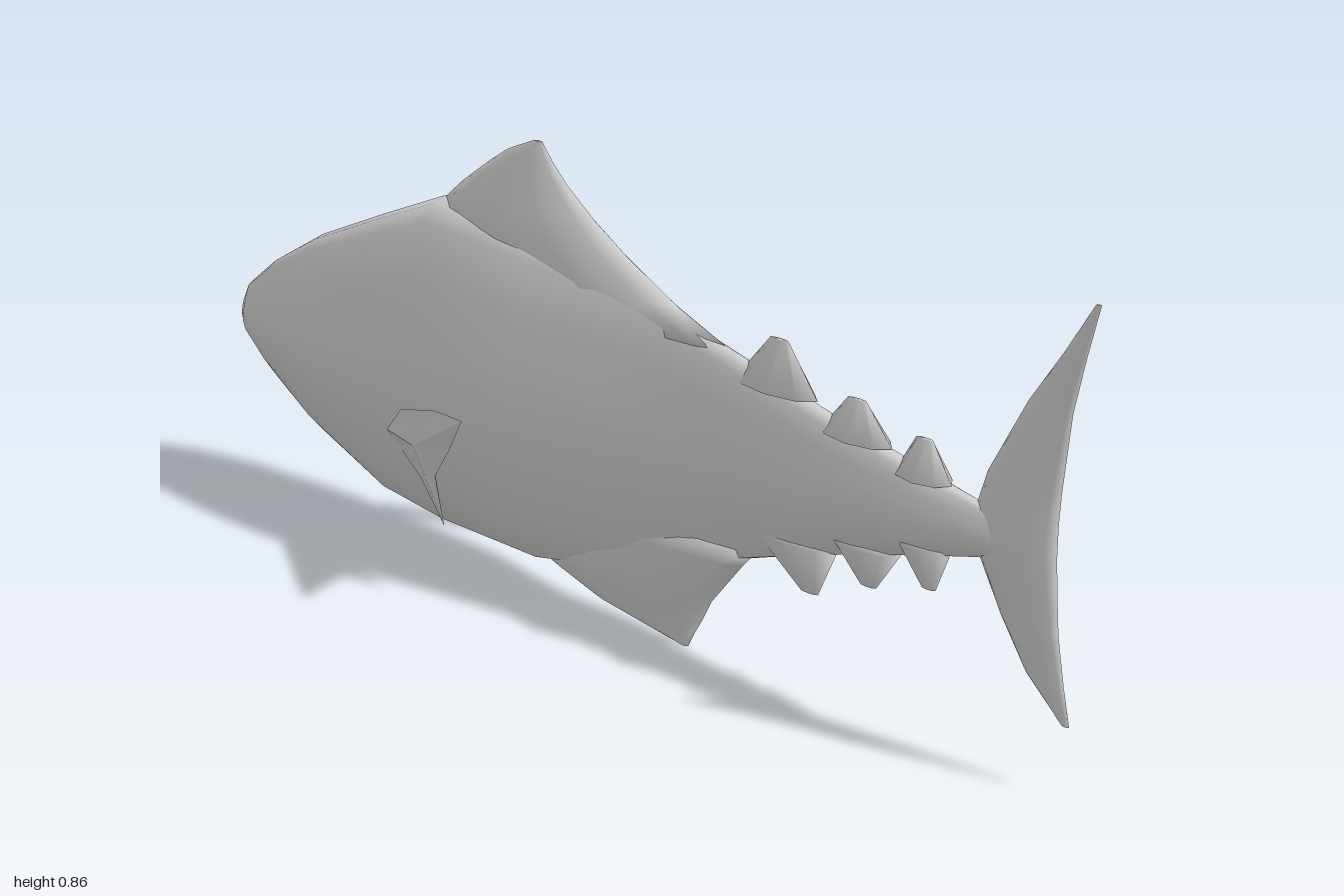
import * as THREE from 'three';

const { sin, cos, PI } = Math;

// Skin a list of rings (clockwise seen from the last ring's side), capped at both ends
function loft(rings) {
  const n = rings[0].length, pos = [], idx = [];
  rings.forEach(r => r.forEach(p => pos.push(...p)));
  for (let i = 0; i < rings.length - 1; i++) {
    for (let j = 0; j < n; j++) {
      const k = (j + 1) % n;
      const a = i * n + j, b = i * n + k, c = a + n, d = b + n;
      idx.push(a, c, b, b, c, d);
    }
  }
  const cap = (i, flip) => {
    const c = pos.length / 3;
    pos.push(...[0, 1, 2].map(m => rings[i].reduce((s, p) => s + p[m], 0) / n));
    for (let j = 0; j < n; j++) {
      const a = i * n + j, b = i * n + (j + 1) % n;
      idx.push(c, flip ? b : a, flip ? a : b);
    }
  };
  cap(0, false);
  cap(rings.length - 1, true);
  const g = new THREE.BufferGeometry();
  g.setAttribute('position', new THREE.Float32BufferAttribute(pos, 3));
  g.setIndex(idx);
  g.computeVertexNormals();
  return g;
}

// Upright fin: stations from low to high, [y, zFront, zBack, halfThickness]
function finGeometry(stations, sides = 10) {
  return loft(stations.map(([y, z0, z1, t]) =>
    Array.from({ length: sides }, (_, j) => {
      const a = (j / sides) * 2 * PI;
      return [t * sin(a), y, (z0 + z1) / 2 - ((z1 - z0) / 2) * cos(a)];
    })));
}

// Body cross-section, right half from back ridge to keel
const PROFILE = [[0, 1], [0.25, 0.975], [0.5, 0.89], [0.72, 0.58], [0.88, 0.28], [1, 0],
  [0.97, -0.25], [0.87, -0.52], [0.55, -0.79], [0.2, -0.98], [0, -1]];

// Body stations: [z, top, bottom, halfWidth, heightOfWidest]
const BODY = [
  [-1, 0.375, 0.33, 0.012, 0.35],
  [-0.97, 0.42, 0.3, 0.036, 0.355],
  [-0.89, 0.485, 0.24, 0.068, 0.36],
  [-0.77, 0.56, 0.165, 0.098, 0.37],
  [-0.6, 0.64, 0.095, 0.113, 0.38],
  [-0.44, 0.712, 0.075, 0.116, 0.38],
  [-0.2, 0.695, 0.07, 0.105, 0.385],
  [0, 0.665, 0.11, 0.072, 0.39],
  [0.2, 0.605, 0.185, 0.043, 0.4],
  [0.45, 0.54, 0.275, 0.039, 0.41],
  [0.7, 0.485, 0.35, 0.035, 0.42],
  [0.79, 0.468, 0.375, 0.024, 0.42],
  [0.9, 0.455, 0.385, 0.01, 0.42],
];

function bodyGeometry() {
  return loft(BODY.map(([z, top, bottom, w, mid]) => {
    const half = PROFILE.map(([u, v]) =>
      [u * w, mid + v * (v > 0 ? top - mid : mid - bottom), z]);
    const mirrored = half.slice(1, -1).reverse().map(([x, y, zz]) => [-x, y, zz]);
    return [...half, ...mirrored];
  }));
}

// Swept side fin: an outline with a slightly raised middle on each face
function pectoralGeometry(side) {
  const outline = [[0.1, 0.245, -0.475], [0.113, 0.275, -0.49], [0.128, 0.335, -0.435],
    [0.19, 0.392, -0.28], [0.248, 0.424, -0.155], [0.2, 0.335, -0.235],
    [0.166, 0.25, -0.31], [0.16, 0.155, -0.295], [0.13, 0.215, -0.385]];
  const pos = [], idx = [], n = outline.length;
  outline.forEach(([x, y, z]) => pos.push(side * x, y, z));
  pos.push(side * 0.157, 0.288, -0.375, side * 0.128, 0.283, -0.36);
  for (let j = 0; j < n; j++) {
    const k = (j + 1) % n;
    if (side > 0) idx.push(n, j, k, n + 1, k, j);
    else idx.push(n, k, j, n + 1, j, k);
  }
  const g = new THREE.BufferGeometry();
  g.setAttribute('position', new THREE.Float32BufferAttribute(pos, 3));
  g.setIndex(idx);
  const flat = g.toNonIndexed();
  flat.computeVertexNormals();
  return flat;
}

export function createModel() {
  const group = new THREE.Group();
  const skin = new THREE.MeshStandardMaterial({ color: 0xcccccc, side: THREE.DoubleSide });
  skin.name = 'grey skin';
  const add = (name, geometry) => {
    const mesh = new THREE.Mesh(geometry, skin);
    mesh.name = name;
    group.add(mesh);
  };

  add('body', bodyGeometry());

  add('dorsalFin', finGeometry([
    [0.59, -0.42, 0.25, 0.04], [0.64, -0.44, 0.125, 0.045], [0.7, -0.45, 0.01, 0.042],
    [0.75, -0.395, -0.07, 0.032], [0.8, -0.33, -0.135, 0.02],
    [0.835, -0.28, -0.17, 0.012], [0.865, -0.215, -0.195, 0.004],
  ]));

  add('analFin', finGeometry([
    [0.005, 0.135, 0.155, 0.004], [0.035, -0.07, 0.17, 0.012], [0.07, -0.18, 0.19, 0.022],
    [0.11, -0.2, 0.21, 0.034], [0.2, -0.18, 0.28, 0.038], [0.235, -0.1, 0.31, 0.03],
  ]));

  // Crescent tail
  add('tailFin', finGeometry([
    [0.13, 0.965, 0.98, 0.003], [0.2, 0.89, 0.965, 0.007], [0.285, 0.835, 0.95, 0.012],
    [0.37, 0.79, 0.943, 0.018], [0.42, 0.77, 0.94, 0.022], [0.475, 0.78, 0.94, 0.018],
    [0.53, 0.797, 0.943, 0.014], [0.67, 0.87, 0.957, 0.008], [0.77, 0.935, 0.978, 0.005],
    [0.862, 0.99, 1, 0.003],
  ]));

  // Finlets along the back and keel: [base y, zFront, zBack, tip y, tip zFront, tip zBack]
  const finlets = [
    [0.55, 0.26, 0.44, 0.64, 0.335, 0.375],
    [0.51, 0.45, 0.6, 0.578, 0.505, 0.545],
    [0.48, 0.61, 0.725, 0.548, 0.65, 0.685],
    [0.29, 0.3, 0.49, 0.198, 0.41, 0.45],
    [0.325, 0.48, 0.625, 0.25, 0.54, 0.575],
    [0.365, 0.62, 0.73, 0.285, 0.67, 0.7],
  ];
  finlets.forEach(([y0, a0, b0, y1, a1, b1], i) => {
    const stations = [[y0, a0, b0, 0.034], [y1, a1, b1, 0.005]];
    if (y1 < y0) stations.reverse();
    add(i < 3 ? `upperFinlet${i + 1}` : `lowerFinlet${i - 2}`, finGeometry(stations, 8));
  });

  add('leftPectoralFin', pectoralGeometry(1));
  add('rightPectoralFin', pectoralGeometry(-1));
  return group;
}
